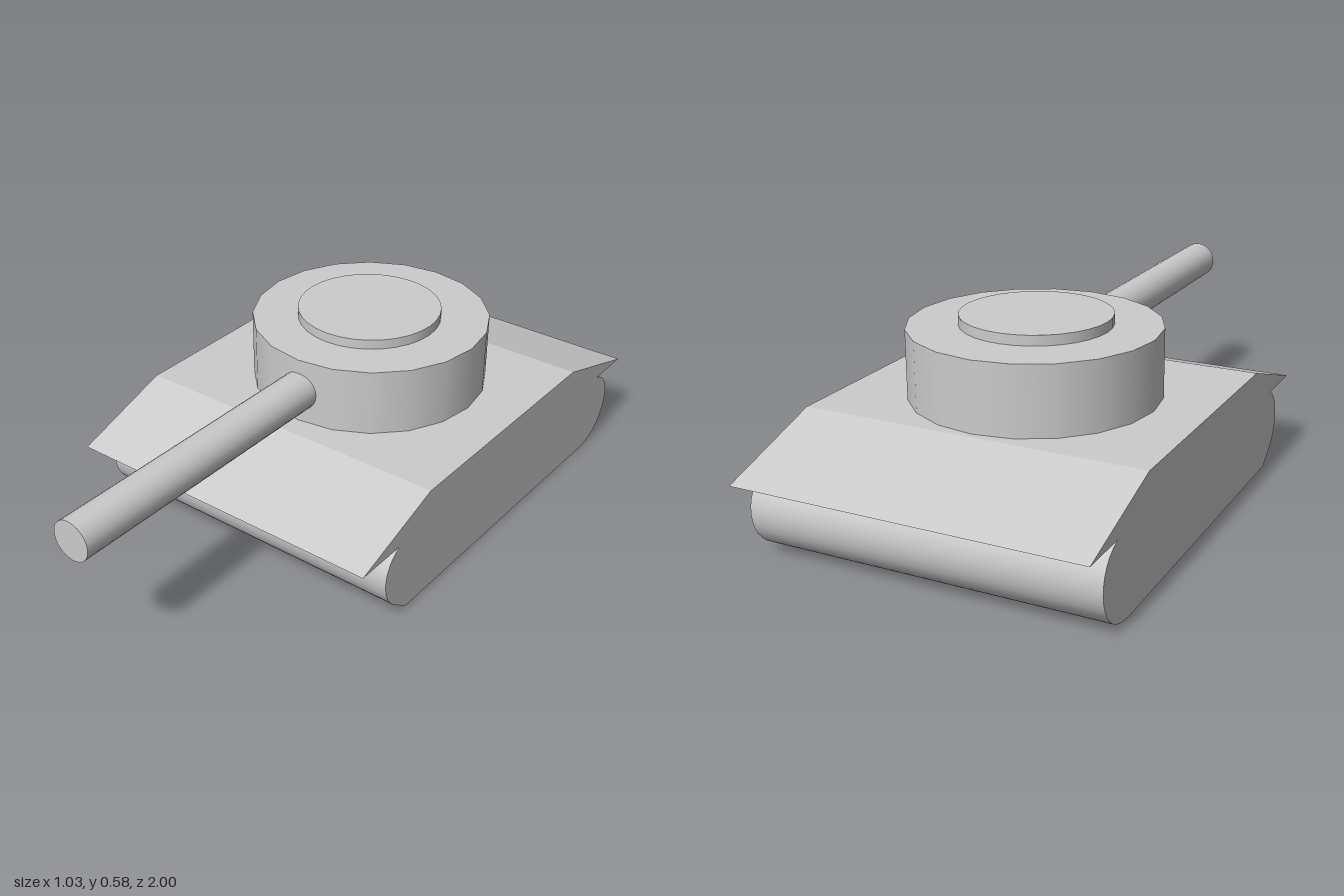
import * as THREE from 'three';
import { toCreasedNormals } from 'three/addons/utils/BufferGeometryUtils.js';

const WIDTH = 1.03;
const material = new THREE.MeshStandardMaterial({ color: 0xcccccc });

function addMesh(group, name, geometry, x = 0, y = 0, z = 0) {
  const mesh = new THREE.Mesh(geometry, material);
  mesh.name = name;
  mesh.position.set(x, y, z);
  group.add(mesh);
  return mesh;
}

// Side profile drawn in (z, y), extruded across the full width
function acrossWidth(shape) {
  const geometry = new THREE.ExtrudeGeometry(shape, {
    depth: WIDTH, bevelEnabled: false, curveSegments: 10,
  });
  geometry.translate(0, 0, -WIDTH / 2);
  geometry.rotateY(-Math.PI / 2);
  return toCreasedNormals(geometry, 0.5);
}

function disc(radius, height, sides) {
  return new THREE.CylinderGeometry(radius, radius, height, sides);
}

export function createModel() {
  const model = new THREE.Group();
  model.name = 'tank';

  // Track body: rounded at both ends, with a chamfered lower front edge
  const track = new THREE.Shape();
  track.moveTo(-0.76, 0);
  track.lineTo(0.26, 0.005);
  track.lineTo(0.325, 0.055);
  track.bezierCurveTo(0.375, 0.1, 0.38, 0.2, 0.3, 0.24);
  track.lineTo(-0.845, 0.24);
  track.bezierCurveTo(-0.94, 0.215, -0.95, 0.1, -0.885, 0.04);
  track.bezierCurveTo(-0.855, 0.01, -0.81, 0, -0.76, 0);
  addMesh(model, 'trackBody', acrossWidth(track));

  // Upper hull: flat deck with sloped overhangs front and back
  const hull = new THREE.Shape();
  hull.moveTo(-1, 0.24);
  hull.lineTo(0.47, 0.24);
  hull.lineTo(0.155, 0.345);
  hull.lineTo(-0.66, 0.345);
  hull.closePath();
  const hullGeometry = acrossWidth(hull).toNonIndexed ? acrossWidth(hull) : null;
  hullGeometry.computeVertexNormals(); // flat faces
  addMesh(model, 'upperHull', hullGeometry);

  // Turret, hatch and gun barrel
  addMesh(model, 'turret', disc(0.365, 0.205, 20), 0, 0.4475, -0.275);
  addMesh(model, 'hatch', disc(0.22, 0.03, 32), 0, 0.565, -0.267);
  const barrel = addMesh(model, 'gunBarrel', disc(0.06, 0.96, 24), 0, 0.445, 0.52);
  barrel.rotation.x = Math.PI / 2;

  return model;
}
